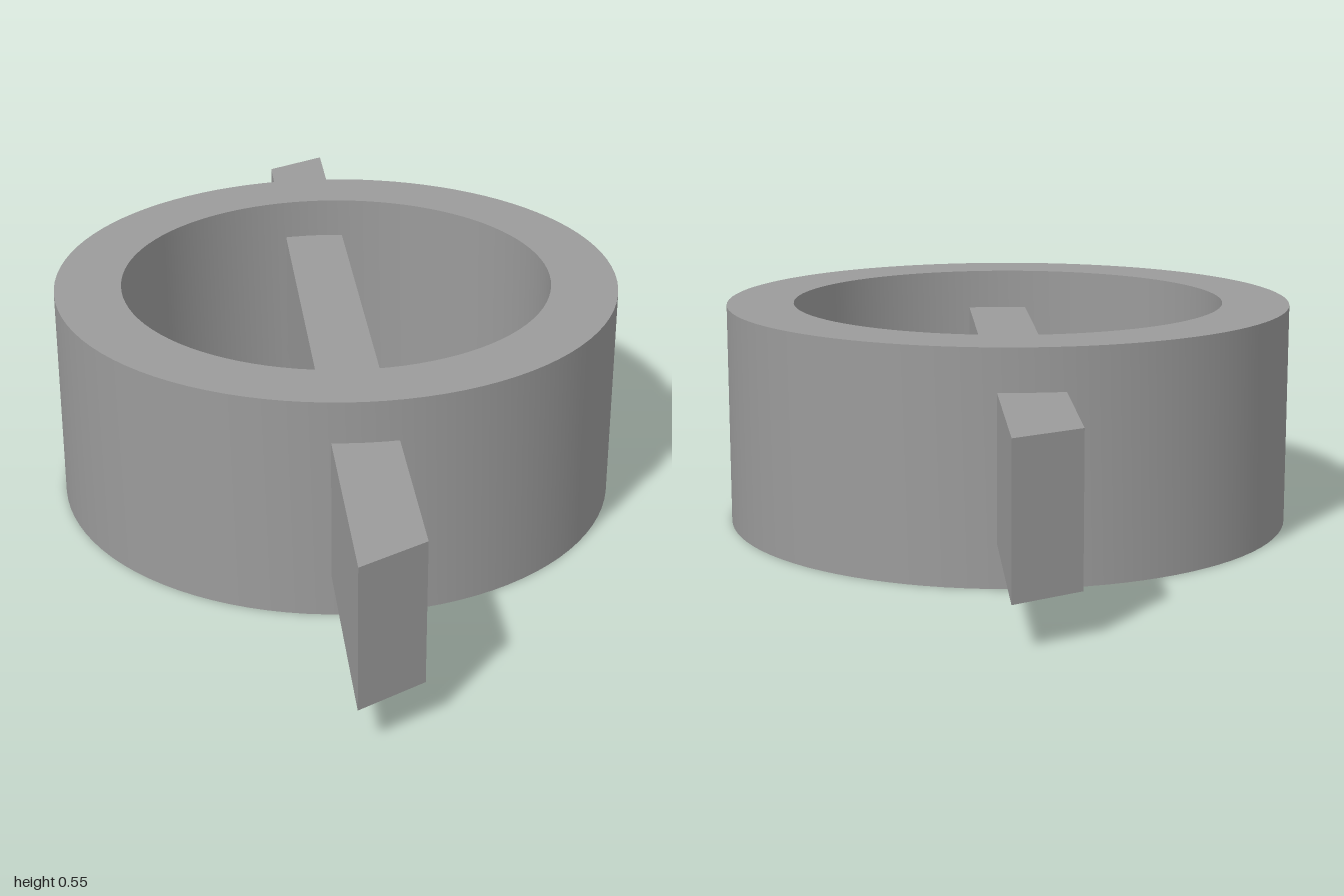
import * as THREE from 'three';
import { toCreasedNormals } from 'three/addons/utils/BufferGeometryUtils.js';

const material = new THREE.MeshStandardMaterial({ color: 0x9b9b9b });

// Extrudes a plan outline (x, -z) upwards from y0 to y1
function slab(name, shape, y0, y1) {
  const geometry = new THREE.ExtrudeGeometry(shape, {
    depth: y1 - y0, bevelEnabled: false, curveSegments: 48,
  });
  geometry.rotateX(-Math.PI / 2).translate(0, y0, 0);
  const mesh = new THREE.Mesh(toCreasedNormals(geometry, 0.5), material);
  mesh.name = name;
  return mesh;
}

export function createModel() {
  const model = new THREE.Group();
  model.name = 'ringWithCrossbar';

  // Thick-walled ring, set slightly towards the back
  const ringOutline = new THREE.Shape().absarc(0, 0, 0.7, 0, Math.PI * 2, false);
  ringOutline.holes.push(new THREE.Path().absarc(0, 0, 0.535, 0, Math.PI * 2, true));
  const ring = slab('ring', ringOutline, 0, 0.547);
  ring.position.z = -0.027;
  model.add(ring);

  // Slanted bar through the ring, its ends cut square to z
  const barOutline = new THREE.Shape([
    [-0.68, -1], [-0.503, -1], [0.635, 1], [0.458, 1],
  ].map(([x, y]) => new THREE.Vector2(x, y)));
  model.add(slab('crossbar', barOutline, 0.104, 0.446));

  return model;
}
